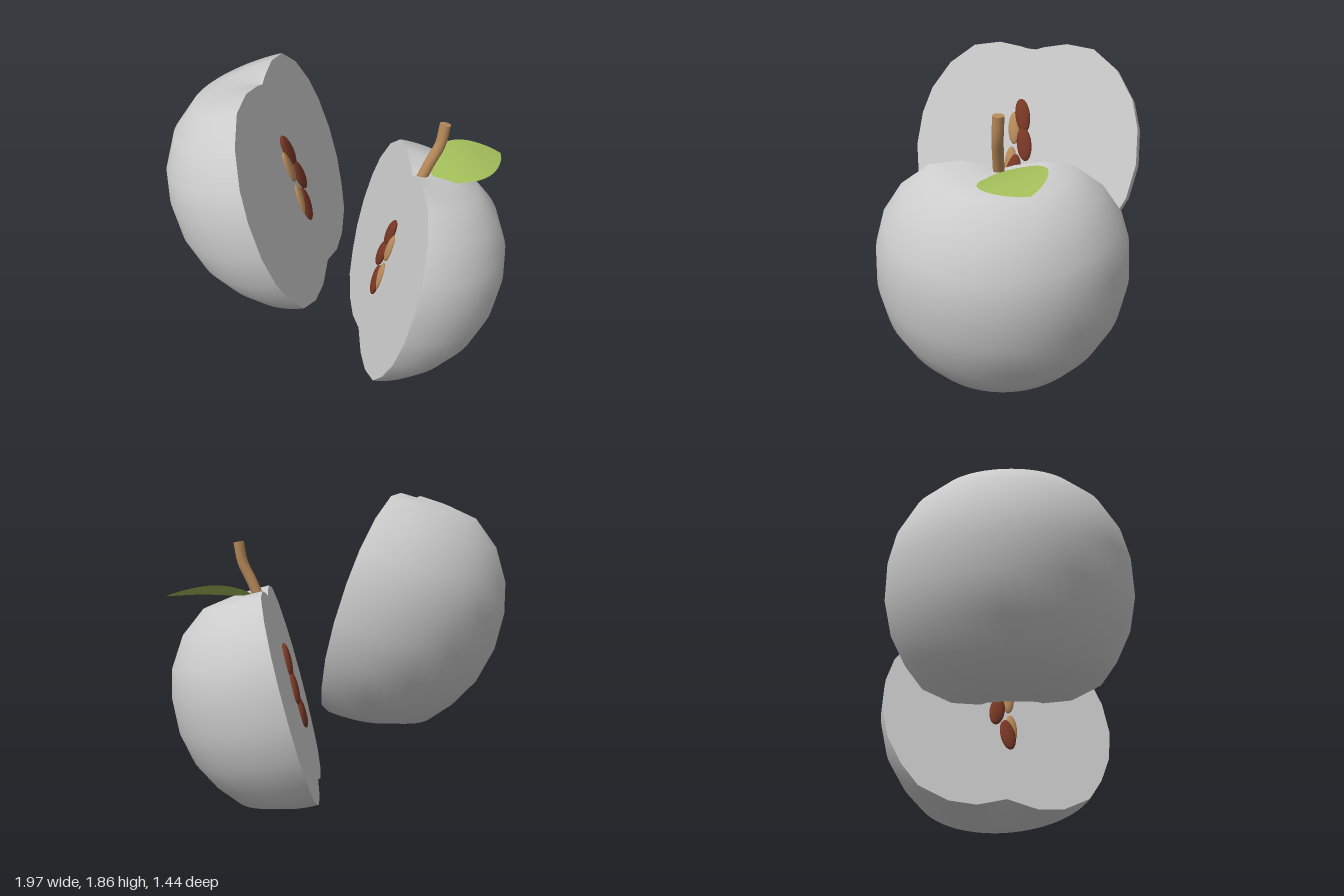
import * as THREE from 'three';

const mat = (name, color, side = THREE.FrontSide) => {
  const m = new THREE.MeshStandardMaterial({ color, side });
  m.name = name;
  return m;
};

// Apple profile (radius, height) from the bottom dimple to the top dimple
const PROFILE = [
  [0, -0.585], [0.07, -0.605], [0.18, -0.635], [0.345, -0.622], [0.515, -0.54], [0.61, -0.41],
  [0.69, -0.24], [0.725, -0.04], [0.71, 0.17], [0.66, 0.335], [0.548, 0.505], [0.392, 0.622],
  [0.22, 0.647], [0.07, 0.622], [0, 0.6],
].map(([r, y]) => new THREE.Vector2(r, y));

export function createModel() {
  const apple = mat('pale grey', 0xcccccc);
  const seedBrown = mat('seed brown', 0x7a3826);
  const tan = mat('tan wood', 0xb98b5b);
  const leafGreen = mat('leaf green', 0xa2bc59, THREE.DoubleSide);
  const model = new THREE.Group();

  const add = (parent, name, geometry, material) => {
    const mesh = new THREE.Mesh(geometry, material);
    mesh.name = name;
    parent.add(mesh);
    return mesh;
  };

  // One apple half; s is the side (+1 or -1) on which its rounded back lies
  const makeHalf = (name, s) => {
    const half = new THREE.Group();
    half.name = name;
    add(half, 'skin', new THREE.LatheGeometry(PROFILE, 32, s > 0 ? 0 : Math.PI, Math.PI), apple);

    // Flat cut face closing the half
    const mirrored = PROFILE.slice(1, -1).reverse().map((p) => new THREE.Vector2(-p.x, p.y));
    const face = new THREE.ShapeGeometry(new THREE.Shape([...PROFILE, ...mirrored]));
    add(half, 'cutFace', face.rotateY(-s * Math.PI / 2), apple);

    // Seeds: height, offset along z, tilt
    const seeds = (label, list, material, radii, out) => list.forEach(([y, z, tilt]) => {
      const seed = add(half, label, new THREE.SphereGeometry(1, 16, 12), material);
      seed.scale.set(...radii);
      seed.position.set(-s * out, y, z);
      seed.rotation.x = tilt;
    });
    seeds('seed', [[0.195, 0.01, 0.25], [0.02, -0.02, 0.22], [-0.15, 0.035, -0.1]],
      seedBrown, [0.024, 0.105, 0.048], 0.012);
    seeds('seedHusk', [[0.115, 0.06, 0.1], [-0.1, 0.062, 0]],
      tan, [0.02, 0.1, 0.038], 0.004);
    model.add(half);
    return half;
  };

  const left = makeHalf('leftHalf', 1);
  left.position.set(0.24, 0.69, 0);
  left.rotation.set(0, 0.18, -0.253);

  const right = makeHalf('rightHalf', -1);
  right.position.set(-0.27, 1.24, 0);
  right.rotation.set(0, -0.17, 0.3);

  // Bent stem with a flat end cap
  const path = new THREE.CatmullRomCurve3([
    [0.435, 1.24, -0.025], [0.485, 1.36, -0.032], [0.535, 1.47, -0.042], [0.555, 1.59, -0.052],
  ].map((p) => new THREE.Vector3(...p)));
  add(model, 'stem', new THREE.TubeGeometry(path, 12, 0.032, 12), tan);
  const cap = add(model, 'stemEnd', new THREE.CircleGeometry(0.032, 12), tan);
  cap.position.copy(path.getPoint(1));
  cap.lookAt(path.getPoint(1).add(path.getTangent(1)));

  // Leaf: a plane shaped along an arched midrib
  const leaf = new THREE.PlaneGeometry(1, 1, 6, 16);
  const pos = leaf.attributes.position;
  for (let i = 0; i < pos.count; i++) {
    const t = pos.getY(i) + 0.5;
    const v = pos.getX(i) * 2;
    const w = 0.175 * v * Math.pow(Math.max(0, Math.sin(Math.PI * (0.06 + 0.94 * t))), 0.75);
    pos.setXYZ(i,
      0.5 + 0.42 * t - 0.51 * w,
      1.275 + 0.01 * t + 0.03 * Math.sin(Math.PI * t) + 0.23 * w,
      -0.035 - 0.255 * t - 0.86 * w);
  }
  leaf.computeVertexNormals();
  add(model, 'leaf', leaf, leafGreen);

  return model;
}
